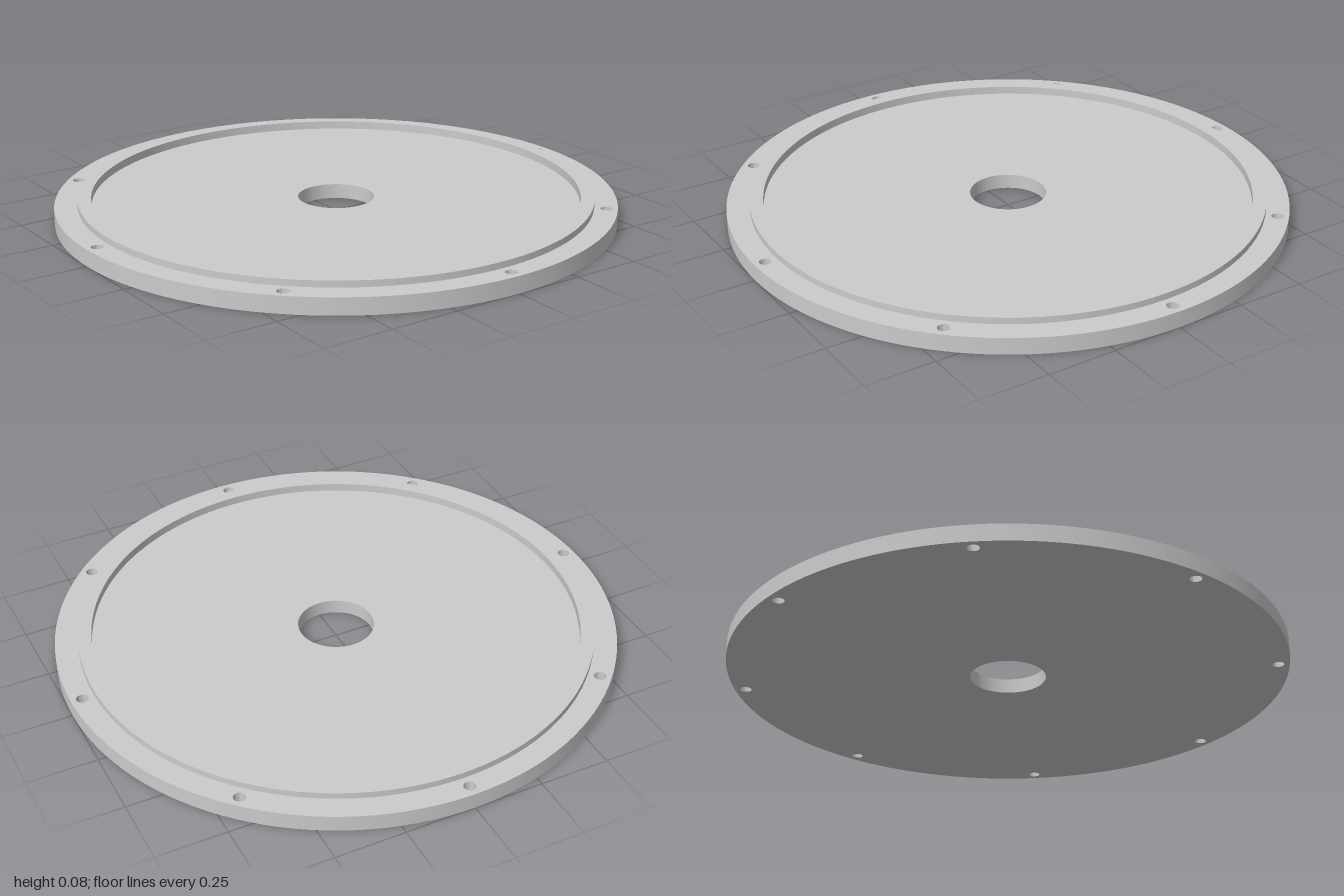
import * as THREE from 'three';
import { toCreasedNormals } from 'three/addons/utils/BufferGeometryUtils.js';

const SEG = 128, HOLE_SEG = 24;
const T = 0.06;             // flange thickness
const FLOOR = 0.053;        // recessed floor height
const LIP_TOP = 0.083;
const LIP_IN = 0.87, LIP_OUT = 0.918;
const BORE = 0.136;
const BOLT_R = 0.021, BOLT_CIRCLE = 0.96, BOLTS = 8;

const material = new THREE.MeshStandardMaterial({ color: 0xcccccc });

function addPart(parent, name, geometry) {
  const mesh = new THREE.Mesh(geometry, material);
  mesh.name = name;
  parent.add(mesh);
  return mesh;
}

// Revolved profile of [radius, height] points, smooth around and sharp at corners
function revolve(profile, segments) {
  const points = profile.map(([r, y]) => new THREE.Vector2(r, y));
  return toCreasedNormals(new THREE.LatheGeometry(points, segments), 0.5);
}

function circle(r, segments, cx = 0, cy = 0) {
  return Array.from({ length: segments }, (_, i) => {
    const a = (i / segments) * Math.PI * 2;
    return new THREE.Vector2(cx + r * Math.cos(a), cy + r * Math.sin(a));
  });
}

export function createModel() {
  const model = new THREE.Group();
  model.name = 'flangedCover';

  // Plate with recessed floor, raised lip and centre bore
  addPart(model, 'plateAndLip', revolve([
    [LIP_OUT, T], [LIP_OUT, LIP_TOP], [LIP_IN, LIP_TOP], [LIP_IN, FLOOR],
    [BORE, FLOOR], [BORE, 0], [LIP_OUT, 0],
  ], SEG));

  // Outer flange: rim wall plus drilled top and bottom rings
  const flange = new THREE.Group();
  flange.name = 'flange';
  model.add(flange);
  addPart(flange, 'rimWall', revolve([[1, 0], [1, T]], SEG));

  const ring = new THREE.Shape(circle(1, SEG));
  ring.holes.push(new THREE.Path(circle(LIP_OUT, SEG)));
  const boltWall = revolve([[BOLT_R, T], [BOLT_R, 0]], HOLE_SEG);
  for (let i = 0; i < BOLTS; i++) {
    const a = (i / BOLTS) * Math.PI * 2;
    const x = BOLT_CIRCLE * Math.cos(a), z = BOLT_CIRCLE * Math.sin(a);
    ring.holes.push(new THREE.Path(circle(BOLT_R, HOLE_SEG, x, z)));
    addPart(flange, 'boltHole', boltWall).position.set(x, 0, z);
  }
  addPart(flange, 'flangeTop', new THREE.ShapeGeometry(ring).rotateX(-Math.PI / 2).translate(0, T, 0));
  addPart(flange, 'flangeBottom', new THREE.ShapeGeometry(ring).rotateX(Math.PI / 2));

  return model;
}
